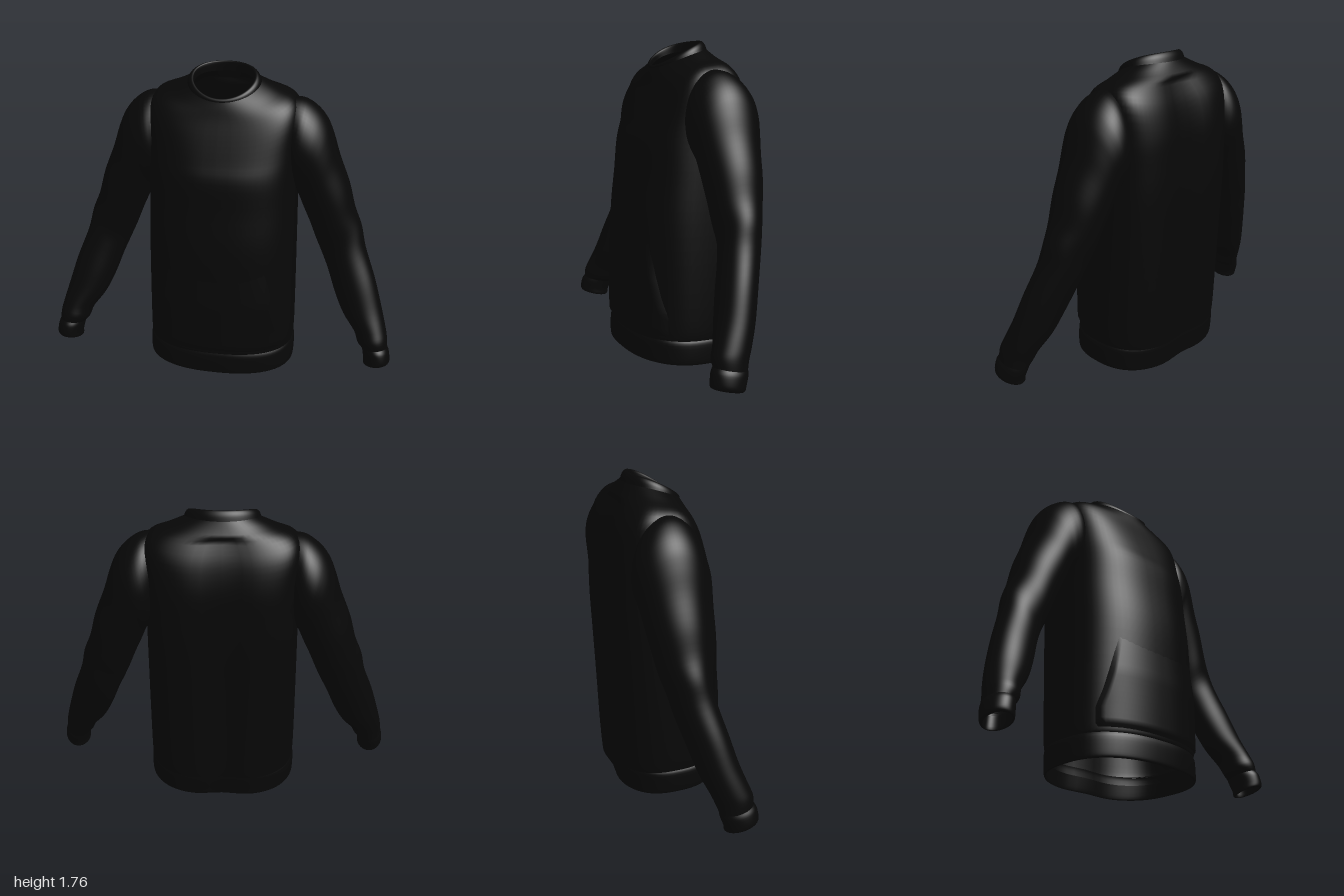
import * as THREE from 'three';

const fabric = new THREE.MeshStandardMaterial({ color: 0x070707, side: THREE.DoubleSide });
fabric.name = 'black fabric';

const SEG = 64;

// Smoothly resample a list of parameter rows
function resample(rows, steps) {
  const out = [];
  const last = rows.length - 1;
  for (let i = 0; i < last; i++) {
    const [p, a, b, q] = [rows[Math.max(i - 1, 0)], rows[i], rows[i + 1], rows[Math.min(i + 2, last)]];
    for (let s = 0; s < steps; s++) {
      const t = s / steps;
      out.push(a.map((v, k) => v + 0.5 * t * (b[k] - p[k] + t * (2 * p[k] - 5 * v + 4 * b[k] - q[k]
        + t * (3 * (v - b[k]) + q[k] - p[k])))));
    }
  }
  out.push(rows[last]);
  return out;
}

// Skin a grid of points; closed grids wrap around
function skin(rows, closed, flip) {
  const n = rows[0].length;
  const index = [];
  for (let r = 0; r < rows.length - 1; r++) {
    for (let i = 0; i < (closed ? n : n - 1); i++) {
      const j = (i + 1) % n;
      const a = r * n + i, b = r * n + j, c = a + n, d = b + n;
      if (flip) index.push(a, c, b, b, c, d);
      else index.push(a, b, c, b, d, c);
    }
  }
  const g = new THREE.BufferGeometry();
  g.setAttribute('position', new THREE.Float32BufferAttribute(rows.flat(2), 3));
  g.setIndex(index);
  g.computeVertexNormals();
  return g;
}

const power = (v, e) => Math.sign(v) * Math.pow(Math.abs(v), e);

// Torso ring: half width, front z, back z, side y, front y, back y, squareness of front and back
function torsoRing([w, zF, zB, yS, yF, yB, nF, nB]) {
  const pts = [];
  for (let i = 0; i < SEG; i++) {
    const a = (i / SEG) * Math.PI * 2;
    const c = Math.cos(a), s = Math.sin(a);
    const n = s > 0 ? nF : nB;
    const x = w * power(c, 2 / n);
    let z = (zF + zB) / 2 + (zF - zB) / 2 * power(s, 2 / n);
    // shallow channel down the spine
    if (s < 0 && w > 0.35) z += 0.024 * Math.exp(-((x / 0.12) ** 2));
    pts.push([x, yS + (yF - yB) / 2 * s + ((yF + yB) / 2 - yS) * s * s, z]);
  }
  return pts;
}

// Sleeve ring: outer x,y, inner x,y, front z, back z, tilt of y with z
function sleeveRing([ox, oy, ix, iy, zF, zB, tilt], side) {
  const pts = [];
  for (let i = 0; i < SEG; i++) {
    const a = (i / SEG) * Math.PI * 2;
    const c = Math.cos(a), s = Math.sin(a);
    pts.push([
      side * ((ox + ix) / 2 + (ox - ix) / 2 * c),
      (oy + iy) / 2 + (oy - iy) / 2 * c + tilt * s,
      (zF + zB) / 2 + (zF - zB) / 2 * s,
    ]);
  }
  return pts;
}

const TORSO = [
  [0.422, 0.316, -0.305, 0.15, 0.165, 0.13, 2.4, 2.6],
  [0.428, 0.322, -0.308, 0.21, 0.21, 0.2, 2.4, 2.7],
  [0.425, 0.322, -0.318, 0.5, 0.5, 0.5, 2.4, 2.9],
  [0.42, 0.318, -0.33, 0.8, 0.8, 0.8, 2.4, 3.1],
  [0.415, 0.29, -0.34, 1.03, 1.03, 1.03, 2.5, 3.2],
  [0.41, 0.27, -0.34, 1.2, 1.2, 1.2, 2.6, 3.3],
  [0.41, 0.235, -0.332, 1.36, 1.3, 1.36, 2.7, 3.4],
  [0.412, 0.19, -0.3, 1.53, 1.42, 1.5, 2.7, 3.4],
  [0.375, 0.155, -0.252, 1.606, 1.51, 1.6, 2.6, 3],
  [0.28, 0.135, -0.212, 1.646, 1.57, 1.665, 2.2, 2.3],
  [0.2, 0.122, -0.188, 1.68, 1.605, 1.708, 2, 2],
];

// Hem band, turned under at the bottom
const HEM = [
  [0.41, 0.3, -0.28, 0.1, 0.11, 0.08, 2.4, 2.6],
  [0.418, 0.31, -0.287, 0.028, 0.044, 0.006, 2.4, 2.6],
  [0.429, 0.321, -0.294, 0.024, 0.038, 0, 2.4, 2.6],
  [0.433, 0.324, -0.297, 0.05, 0.065, 0.03, 2.4, 2.6],
  [0.431, 0.323, -0.304, 0.13, 0.14, 0.11, 2.4, 2.6],
  [0.422, 0.314, -0.303, 0.155, 0.17, 0.135, 2.4, 2.6],
];

// Neckband, rolled inwards at the top
const COLLAR = [
  [0.2, 0.122, -0.188, 1.678, 1.603, 1.706, 2, 2],
  [0.192, 0.121, -0.178, 1.698, 1.613, 1.735, 2, 2],
  [0.178, 0.115, -0.163, 1.71, 1.621, 1.754, 2, 2],
  [0.164, 0.108, -0.154, 1.705, 1.619, 1.749, 2, 2],
  [0.163, 0.107, -0.158, 1.67, 1.59, 1.7, 2, 2],
];

const SLEEVE = [
  [0.31, 1.6, 0.33, 1.2, 0.05, -0.17, 0],
  [0.42, 1.596, 0.36, 1.12, 0.108, -0.255, 0],
  [0.5, 1.55, 0.395, 1.08, 0.115, -0.278, 0],
  [0.56, 1.48, 0.41, 1.06, 0.108, -0.272, 0],
  [0.6, 1.39, 0.425, 1.03, 0.1, -0.26, 0],
  [0.64, 1.27, 0.45, 0.97, 0.09, -0.245, 0],
  [0.7, 1.12, 0.49, 0.88, 0.08, -0.225, 0],
  [0.74, 0.98, 0.53, 0.78, 0.07, -0.2, 0],
  [0.785, 0.87, 0.57, 0.69, 0.06, -0.17, 0],
  [0.815, 0.75, 0.61, 0.6, 0.08, -0.145, 0],
  [0.88, 0.58, 0.66, 0.47, 0.12, -0.095, 0.01],
  [0.93, 0.42, 0.715, 0.36, 0.155, -0.05, 0.02],
  [0.962, 0.31, 0.785, 0.27, 0.19, -0.005, 0.02],
  [0.976, 0.25, 0.81, 0.21, 0.212, 0.02, 0.02],
  [0.982, 0.19, 0.845, 0.175, 0.21, 0.035, 0.02],
];

// Cuff, turned inwards at the opening
const CUFF = [
  [0.98, 0.2, 0.838, 0.18, 0.212, 0.03, 0.02],
  [0.992, 0.175, 0.842, 0.16, 0.226, 0.035, 0.02],
  [1, 0.125, 0.85, 0.12, 0.234, 0.05, 0.02],
  [0.994, 0.105, 0.852, 0.09, 0.232, 0.055, 0.02],
  [0.98, 0.105, 0.865, 0.092, 0.22, 0.068, 0.02],
  [0.965, 0.17, 0.86, 0.16, 0.205, 0.06, 0.02],
];

// Front pocket that grows out of the belly, with slanted open sides
function pocketGeometry() {
  const rows = [];
  const NY = 18, NX = 40;
  for (let r = 0; r <= NY; r++) {
    const t = r / NY;
    const half = t < 0.25 ? 0.38 : 0.38 - 0.095 * Math.pow((t - 0.25) / 0.75, 0.8);
    const row = [];
    for (let i = 0; i <= NX; i++) {
      const u = 2 * i / NX - 1;
      const x = half * u;
      const front = 0.321 * Math.pow(1 - Math.pow(Math.abs(x) / 0.426, 2.4), 1 / 2.4);
      const rim = r === 0 || i === 0 || i === NX;
      const lift = Math.min(1, (1 - t) * 2.5) * (0.014 + 0.01 * u ** 4) - 0.003;
      row.push([x, 0.175 + 0.515 * t, front + (rim ? -0.008 : lift)]);
    }
    rows.push(row);
  }
  return skin(rows, false, false);
}

export function createModel() {
  const model = new THREE.Group();
  model.name = 'sweatshirt';
  const add = (name, geometry) => {
    const mesh = new THREE.Mesh(geometry, fabric);
    mesh.name = name;
    model.add(mesh);
  };

  const bands = { torso: TORSO, hem: HEM, collar: COLLAR };
  for (const [name, rows] of Object.entries(bands)) {
    add(name, skin(resample(rows, 4).map(torsoRing), true, true));
  }
  add('frontPocket', pocketGeometry());

  for (const [label, side] of [['left', 1], ['right', -1]]) {
    const build = rows => skin(resample(rows, 4).map(p => sleeveRing(p, side)), true, side < 0);
    add(label + 'Sleeve', build(SLEEVE));
    add(label + 'Cuff', build(CUFF));
  }
  return model;
}
